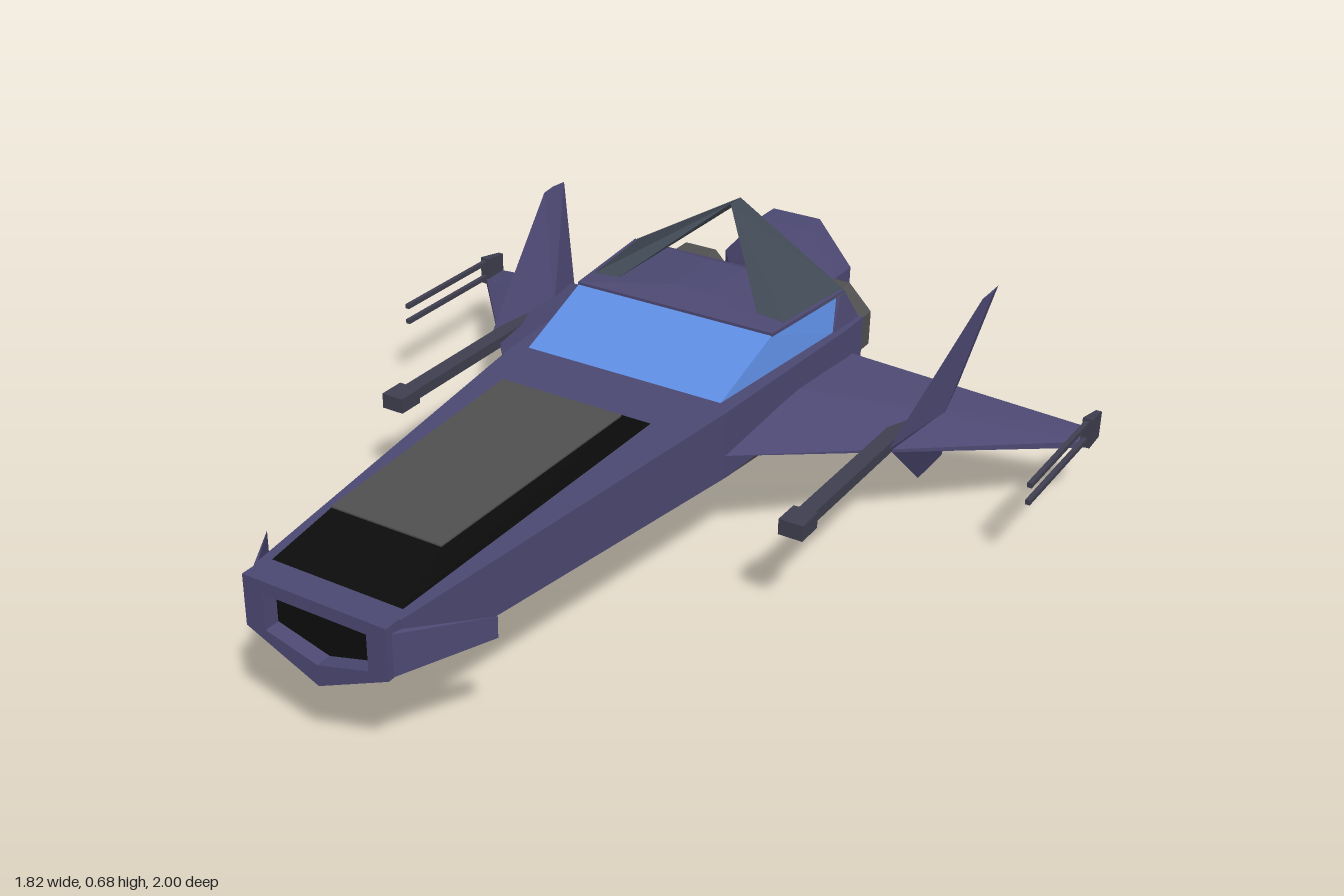
import * as THREE from 'three';
import { ConvexGeometry } from 'three/addons/geometries/ConvexGeometry.js';

const mat = (name, color) => {
  const m = new THREE.MeshStandardMaterial({ color });
  m.name = name;
  return m;
};

export function createModel() {
  const purple = mat('purple hull', 0x4c4872);
  const under = mat('dark underside', 0x2a2a2a);
  const black = mat('black', 0x0c0c0c);
  const grey = mat('grey panel', 0x505050);
  const glass = mat('blue glass', 0x5d8ce0);
  const slate = mat('slate strut', 0x404854);
  const gun = mat('gun metal', 0x3f3f50);

  const model = new THREE.Group();
  model.name = 'starfighter';

  const add = (name, geo, material, parent = model) => {
    const mesh = new THREE.Mesh(geo, material);
    mesh.name = name;
    parent.add(mesh);
    return mesh;
  };
  // faceted solid around a few corner points
  const hull = (name, material, pts, parent) =>
    add(name, new ConvexGeometry(pts.map(p => new THREE.Vector3(...p))), material, parent);
  // the same, with every point repeated at -x
  const symHull = (name, material, pts) =>
    hull(name, material, pts.flatMap(([x, y, z]) => (x ? [[x, y, z], [-x, y, z]] : [[x, y, z]])));
  const box = (name, material, x0, x1, y0, y1, z0, z1, parent) => {
    const g = new THREE.BoxGeometry(x1 - x0, y1 - y0, z1 - z0);
    g.translate((x0 + x1) / 2, (y0 + y1) / 2, (z0 + z1) / 2);
    return add(name, g, material, parent);
  };
  // eight-sided turned part along -z; profile of [radius, distance behind the centre]
  const turned = (name, material, profile, parent) => {
    let g = new THREE.LatheGeometry(profile.map(p => new THREE.Vector2(...p)), 8, Math.PI / 8);
    g = g.toNonIndexed();
    g.computeVertexNormals();
    g.rotateX(-Math.PI / 2);
    return add(name, g, material, parent);
  };

  // fuselage
  symHull('fuselage', purple, [
    [0.184, 0.4, 0.96], [0.184, 0.28, 0.96], [0.3, 0.42, -0.08], [0.3, 0.25, -0.08],
    [0.33, 0.42, -0.62], [0.33, 0.245, -0.62], [0.33, 0.42, -0.71], [0.33, 0.245, -0.71]]);
  symHull('underside', under, [
    [0.184, 0.28, 0.96], [0, 0.2, 0.96], [0.3, 0.25, -0.08],
    [0.33, 0.245, -0.45], [0, 0.18, -0.45], [0.33, 0.244, -0.71], [0, 0.225, -0.71]]);

  // nose frame with a recessed intake
  const pentagon = (Type, w, top, low, bottom) => new Type([
    [-w, top], [-w, low], [0, bottom], [w, low], [w, top]].map(p => new THREE.Vector2(...p)));
  const frame = pentagon(THREE.Shape, 0.18, 0.4, 0.28, 0.2);
  frame.holes.push(pentagon(THREE.Path, 0.13, 0.37, 0.285, 0.25));
  const frameGeo = new THREE.ExtrudeGeometry(frame, { depth: 0.04, bevelEnabled: false });
  frameGeo.translate(0, 0, 0.96);
  add('noseFrame', frameGeo, purple);
  const intake = new THREE.ShapeGeometry(pentagon(THREE.Shape, 0.135, 0.375, 0.28, 0.245));
  intake.translate(0, 0, 0.962);
  add('intake', intake, black);

  // hood with inset panel
  symHull('hood', black, [
    [0.165, 0.4, 0.93], [0.185, 0.41, 0.04], [0.14, 0.45, 0.77], [0.16, 0.468, 0.14]]);
  symHull('hoodPanel', grey, [
    [0.14, 0.449, 0.77], [0.16, 0.467, 0.14], [0.14, 0.454, 0.77], [0.16, 0.472, 0.14]]);

  // cockpit
  symHull('cockpitGlass', glass, [
    [0.265, 0.415, -0.1], [0.27, 0.5, -0.34], [0.29, 0.5, -0.64], [0.31, 0.415, -0.6]]);
  symHull('cockpitRoof', purple, [
    [0.272, 0.498, -0.34], [0.272, 0.507, -0.34], [0.3, 0.498, -0.65], [0.3, 0.507, -0.65],
    [0.05, 0.525, -0.42], [0.05, 0.525, -0.6]]);
  symHull('cockpitRear', purple, [
    [0.312, 0.415, -0.585], [0.3, 0.5, -0.635], [0.3, 0.5, -0.66], [0.32, 0.415, -0.71]]);

  // central engine
  const main = new THREE.Group();
  main.name = 'mainEngine';
  main.position.set(0, 0.34, -0.7);
  main.scale.x = 0.85;
  model.add(main);
  turned('mainNeck', purple, [[0, 0], [0.085, 0], [0.085, 0.16]], main);
  turned('mainNozzle', purple, [
    [0, 0.145], [0.16, 0.145], [0.21, 0.19], [0.21, 0.27], [0.18, 0.3],
    [0.14, 0.3], [0.1, 0.2], [0, 0.2]], main);

  // everything that comes in pairs
  for (const s of [1, -1]) {
    const side = new THREE.Group();
    side.name = s > 0 ? 'leftSide' : 'rightSide';
    side.scale.x = s;
    model.add(side);

    // nose canard
    hull('canard', purple, [
      [0.176, 0.38, 0.99], [0.176, 0.28, 0.99], [0.184, 0.38, 0.96], [0.184, 0.28, 0.96],
      [0.295, 0.36, 0.8], [0.295, 0.31, 0.8]], side);

    // strut rising to the ridge above the roof
    hull('roofStrut', slate, [
      [0.275, 0.503, -0.4], [0.2, 0.508, -0.4], [0.305, 0.5, -0.66], [0.24, 0.505, -0.65],
      [0, 0.682, -0.61], [0, 0.682, -0.66], [0, 0.67, -0.63]], side);

    // wing
    hull('wing', purple, [
      [0.29, 0.31, -0.07], [0.32, 0.35, -0.4], [0.32, 0.265, -0.4],
      [0.33, 0.34, -0.66], [0.33, 0.27, -0.66],
      [0.9, 0.192, -0.81], [0.9, 0.175, -0.81], [0.9, 0.192, -0.88], [0.9, 0.175, -0.88]], side);

    // fins above and below the wing
    const root = [[0.57, 0.27, -0.38], [0.605, 0.275, -0.62], [0.535, 0.265, -0.62], [0.57, 0.27, -0.77]];
    hull('upperFin', purple, [...root, [0.632, 0.54, -0.72], [0.638, 0.54, -0.77], [0.632, 0.54, -0.815]], side);
    hull('lowerFin', purple, [...root, [0.503, 0.005, -0.73], [0.497, 0.005, -0.8], [0.503, 0.005, -0.875]], side);

    // wing cannon
    box('cannonBarrel', gun, 0.527, 0.568, 0.252, 0.28, -0.62, 0, side);
    box('cannonMuzzle', gun, 0.518, 0.578, 0.247, 0.286, -0.005, 0.065, side);

    // wing tip guns
    hull('tipMount', gun, [
      [0.885, 0.18, -0.8], [0.91, 0.18, -0.8], [0.885, 0.258, -0.8], [0.91, 0.258, -0.8],
      [0.89, 0.175, -0.88], [0.905, 0.175, -0.88], [0.89, 0.245, -0.88], [0.905, 0.245, -0.88]], side);
    for (const y of [0.2, 0.245])
      box('tipGun', gun, 0.89, 0.902, y - 0.006, y + 0.006, -0.82, -0.44, side);

    // side engine
    const engine = new THREE.Group();
    engine.name = 'sideEngine';
    engine.position.set(0.195, 0.345, -0.7);
    side.add(engine);
    turned('engineCollar', purple, [[0, 0], [0.08, 0], [0.118, 0.05]], engine);
    turned('engineBand', grey, [[0.118, 0.05], [0.118, 0.11], [0.1, 0.13]], engine);
    turned('engineRing', purple, [[0.1, 0.13], [0.075, 0.13], [0.06, 0.09]], engine);
    turned('engineCore', black, [[0.062, 0.09], [0, 0.09]], engine);
  }
  return model;
}
